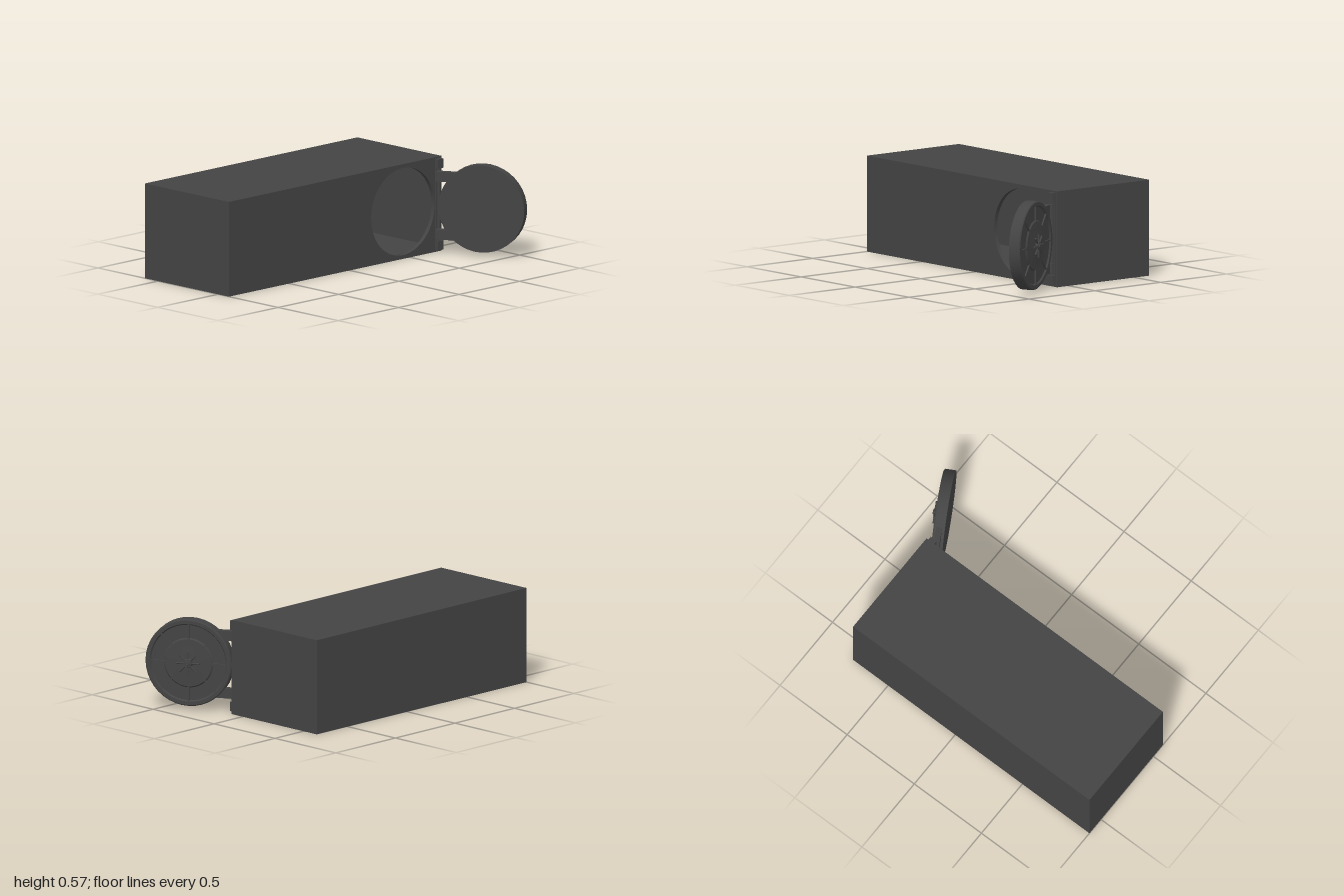
import * as THREE from 'three';
import { toCreasedNormals } from 'three/addons/utils/BufferGeometryUtils.js';

const steel = new THREE.MeshStandardMaterial({ color: 0x444444 });

function add(parent, name, geometry, x = 0, y = 0, z = 0) {
  const mesh = new THREE.Mesh(geometry, steel);
  mesh.name = name;
  mesh.position.set(x, y, z);
  parent.add(mesh);
  return mesh;
}
const box = (w, h, d) => new THREE.BoxGeometry(w, h, d);

// Hollow room; the wall on +x has the round doorway
function createRoom() {
  const room = new THREE.Group();
  room.name = 'room';
  const H = 0.57, T = 0.025, x0 = -0.61, x1 = 0.09, z0 = -0.76, z1 = 1;
  const W = x1 - T - x0, cx = x0 + W / 2, cz = (z0 + z1) / 2, L = z1 - z0;

  const wall = new THREE.Shape();
  wall.moveTo(-z1, 0).lineTo(-z0, 0).lineTo(-z0, H).lineTo(-z1, H).closePath();
  const hole = new THREE.Path();
  hole.absarc(0.44, 0.285, 0.262, 0, Math.PI * 2, true);
  wall.holes.push(hole);
  const geometry = new THREE.ExtrudeGeometry(wall, { depth: T, bevelEnabled: false, curveSegments: 32 });
  add(room, 'doorwayWall', toCreasedNormals(geometry, 0.6), x1 - T).rotation.y = Math.PI / 2;

  add(room, 'floor', box(W, T, L), cx, T / 2, cz);
  add(room, 'roof', box(W, T, L), cx, H - T / 2, cz);
  add(room, 'frontWall', box(W, H - 2 * T, T), cx, H / 2, z1 - T / 2);
  add(room, 'backWall', box(W, H - 2 * T, T), cx, H / 2, z0 + T / 2);
  add(room, 'sideWall', box(T, H - 2 * T, L - 2 * T), x0 + T / 2, H / 2, cz);
  return room;
}

// Round door lying in its own xz plane, outer face up, later tipped upright
function createDoor() {
  const door = new THREE.Group();
  door.name = 'door';
  const profile = [
    [0, 0], [0.262, 0], [0.262, 0.063], [0.256, 0.069], [0.235, 0.069], [0.228, 0.06],
    [0.15, 0.06], [0.142, 0.068], [0.132, 0.068], [0.07, 0.074], [0, 0.076],
  ].map(([r, y]) => new THREE.Vector2(r, y));
  add(door, 'doorDisc', toCreasedNormals(new THREE.LatheGeometry(profile, 40), 0.5), 0, -0.0345);

  // Radial ribs and the spokes of the hand wheel
  for (let i = 0; i < 8; i++) {
    const arm = new THREE.Group();
    arm.name = 'spoke' + (i + 1);
    arm.rotation.y = i * Math.PI / 4;
    add(arm, 'rib', box(0.095, 0.012, 0.009), 0.188, 0.028);
    const handle = add(arm, 'handle', new THREE.CylinderGeometry(0.006, 0.006, 0.06, 8), 0.04, 0.049);
    handle.rotation.z = Math.PI / 2;
    door.add(arm);
  }
  add(door, 'hub', new THREE.CylinderGeometry(0.024, 0.03, 0.022, 20), 0, 0.047);
  add(door, 'hubCap', new THREE.CylinderGeometry(0.013, 0.016, 0.008, 16), 0, 0.06);
  door.rotation.x = -Math.PI / 2;
  return door;
}

export function createModel() {
  const model = new THREE.Group();
  model.name = 'vault';
  model.add(createRoom());

  // Door swung open, with its two hinge arms
  const swing = new THREE.Group();
  swing.name = 'openDoor';
  swing.position.set(0.355, 0.286, -0.84);
  swing.rotation.y = 0.504;
  swing.add(createDoor());
  for (const s of [-1, 1]) add(swing, 'hingeArm', box(0.15, 0.06, 0.035), -0.21, s * 0.174, 0);
  model.add(swing);

  // Hinge pin held between end brackets
  const hinge = new THREE.Group();
  hinge.name = 'hinge';
  add(hinge, 'pin', new THREE.CylinderGeometry(0.011, 0.011, 0.5, 16), 0.102, 0.286, -0.727);
  add(hinge, 'backPlate', box(0.008, 0.55, 0.044), 0.094, 0.286, -0.727);
  for (const s of [-1, 1]) {
    add(hinge, 'bracket', box(0.026, 0.056, 0.044), 0.103, 0.286 + s * 0.246, -0.727);
    add(hinge, 'knuckle', new THREE.CylinderGeometry(0.016, 0.016, 0.06, 16), 0.104, 0.286 + s * 0.174, -0.724);
  }
  model.add(hinge);
  return model;
}
